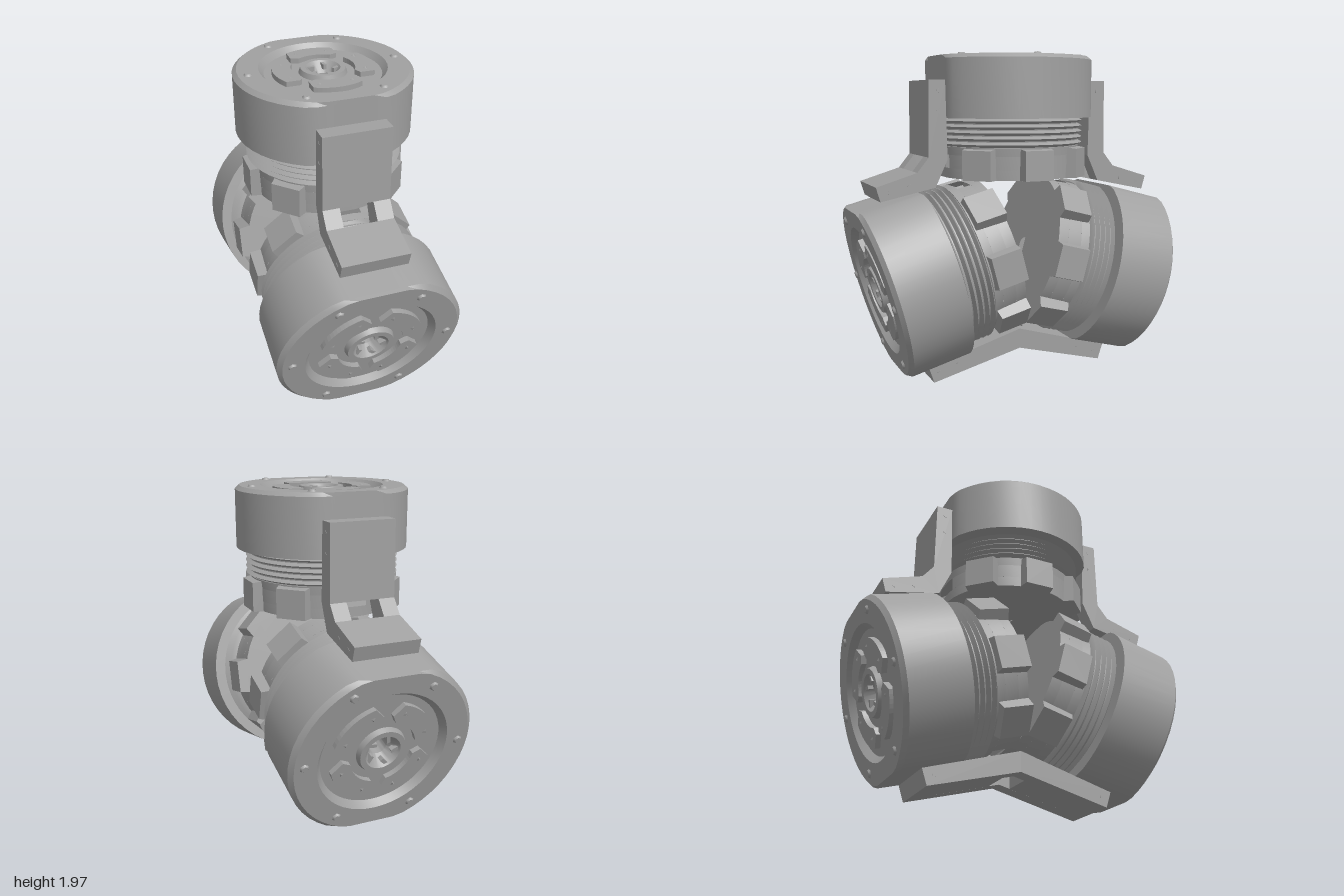
import * as THREE from 'three';
import { toCreasedNormals } from 'three/addons/utils/BufferGeometryUtils.js';

const grey = new THREE.MeshStandardMaterial({ color: 0xa0a0a0, side: THREE.DoubleSide });
grey.name = 'grey';

function add(parent, name, geometry) {
  const mesh = new THREE.Mesh(geometry, grey);
  mesh.name = name;
  parent.add(mesh);
  return mesh;
}

// Turned part from [radius, height] points, with the front and back flattened at z = +-flat
function turned(points, flat, segments = 48, start = 0, length = Math.PI * 2) {
  const g = new THREE.LatheGeometry(points.map(p => new THREE.Vector2(...p)), segments, start, length);
  const pos = g.attributes.position;
  for (let i = 0; i < pos.count; i++) {
    pos.setZ(i, THREE.MathUtils.clamp(pos.getZ(i), -flat, flat));
  }
  return toCreasedNormals(g, 0.4);
}

// Curved pad lying on the end face
function padGeometry() {
  const s = new THREE.Shape();
  s.absarc(0, 0, 0.295, -0.5, 0.5, false);
  s.lineTo(0.225 * Math.cos(0.68), 0.225 * Math.sin(0.68));
  s.absarc(0, 0, 0.185, 0.55, -0.55, true);
  s.lineTo(0.225 * Math.cos(0.68), -0.225 * Math.sin(0.68));
  s.closePath();
  const g = new THREE.ExtrudeGeometry(s, { depth: 0.03, bevelEnabled: false, curveSegments: 6 });
  return g.rotateX(-Math.PI / 2);
}

// Block on the lower collar, narrower towards its outer face
function blockGeometry() {
  const g = new THREE.BoxGeometry(0.1, 0.19, 0.21);
  const pos = g.attributes.position;
  for (let i = 0; i < pos.count; i++) {
    if (pos.getX(i) > 0) {
      pos.setZ(i, pos.getZ(i) * 0.85);
      if (pos.getY(i) > 0) pos.setY(i, 0.08);
    }
  }
  g.computeVertexNormals();
  return g;
}

// Drum standing on its base at the local origin
function makeDrum(name, padTurn) {
  const drum = new THREE.Group();
  drum.name = name;

  // Cap with chamfered rim, recessed face and hollow hub
  add(drum, 'cap', turned([
    [0.42, 0.36], [0.52, 0.36], [0.52, 0.705], [0.495, 0.727], [0.37, 0.727], [0.34, 0.69],
    [0.14, 0.69], [0.13, 0.72], [0.1, 0.72], [0.05, 0.66], [0.05, 0.19],
  ], 0.47));

  // Ribbed band
  const ribs = [[0.42, 0.19]];
  for (let i = 0; i < 5; i++) {
    const y = 0.19 + i * 0.034;
    ribs.push([0.44, y + 0.003], [0.465, y + 0.017], [0.44, y + 0.031]);
  }
  ribs.push([0.43, 0.36]);
  add(drum, 'ribbedBand', turned(ribs, 0.452));

  // Hollow collar with a slot at front and back
  add(drum, 'collarBottom', turned([[0.05, 0], [0.43, 0], [0.432, 0.06]], 0.425));
  add(drum, 'collarTop', turned([[0.435, 0.14], [0.44, 0.19], [0.05, 0.19]], 0.43));
  for (const side of [0, 1]) {
    add(drum, 'collarWall', turned([[0.432, 0.06], [0.435, 0.14]], 0.425, 24,
      0.24 + side * Math.PI, Math.PI - 0.48));
  }

  // Collar blocks, leaving out the slot sides
  for (const deg of [0, 45, 135, 180, 225, 315]) {
    const a = THREE.MathUtils.degToRad(deg);
    const block = add(drum, 'collarBlock', blockGeometry());
    block.position.set(Math.cos(a) * 0.43, 0.095, -Math.sin(a) * 0.43);
    block.rotation.y = a;
  }

  // Rim screws
  for (let i = 0; i < 6; i++) {
    const a = i * Math.PI / 3;
    const screw = add(drum, 'rimScrew', new THREE.CylinderGeometry(0.018, 0.028, 0.014, 6));
    screw.position.set(Math.cos(a) * 0.44, 0.731, Math.sin(a) * 0.44);
  }

  // Face pads with two small screws each
  for (let i = 0; i < 4; i++) {
    const pad = new THREE.Group();
    pad.name = 'facePad';
    pad.rotation.y = padTurn + i * Math.PI / 2;
    pad.position.y = 0.69;
    add(pad, 'pad', padGeometry());
    for (const s of [-1, 1]) {
      const screw = add(pad, 'padScrew', new THREE.ConeGeometry(0.016, 0.01, 3));
      screw.position.set(0.225, 0.034, s * 0.095);
    }
    drum.add(pad);
  }

  // Blades inside the hub
  for (let i = 0; i < 5; i++) {
    const a = i * Math.PI * 0.4;
    const blade = add(drum, 'hubBlade', new THREE.BoxGeometry(0.055, 0.03, 0.02));
    blade.position.set(Math.cos(a) * 0.08, 0.695, -Math.sin(a) * 0.08);
    blade.rotation.y = a + 0.5;
  }
  return drum;
}

// Plate with a [z, y] outline, spanning x0 to x1
function plate(points, x0, x1) {
  const s = new THREE.Shape(points.map(p => new THREE.Vector2(...p)));
  const g = new THREE.ExtrudeGeometry(s, { depth: x1 - x0, bevelEnabled: false });
  return g.rotateY(-Math.PI / 2).translate(x1, 0, 0);
}

// Bracket made of two side rails and centre pieces, so a window stays open between them
function makeBracket(name, outline, centrePieces, screws) {
  const bracket = new THREE.Group();
  bracket.name = name;
  add(bracket, 'rightRail', plate(outline, -0.2, -0.1));
  add(bracket, 'leftRail', plate(outline, 0.1, 0.2));
  for (const piece of centrePieces) add(bracket, 'centrePlate', plate(piece, -0.1, 0.1));
  for (const [z, y] of screws) {
    for (const s of [-1, 1]) {
      const screw = add(bracket, 'bracketScrew', new THREE.CylinderGeometry(0.014, 0.014, 0.006, 3));
      screw.rotation.z = Math.PI / 2;
      screw.position.set(s * 0.2, y, z);
    }
  }
  return bracket;
}

export function createModel() {
  const model = new THREE.Group();
  model.name = 'drumAssembly';

  const top = makeDrum('topDrum', 0);
  top.position.y = 1.23;
  model.add(top);

  // Upper bracket outline: upright arm, bend, lower arm
  const upright = [[0.575, 1.81], [0.475, 1.81], [0.465, 1.35], [0.58, 1.364]];
  const lower = [[0.54, 1.187], [0.87, 1.118], [0.895, 1.203], [0.65, 1.278]];
  const bent = [...upright.slice(0, 3), ...lower, upright[3]];

  // Front and back halves
  for (const [side, turn] of [['front', 0], ['back', Math.PI]]) {
    const half = new THREE.Group();
    half.name = side + 'Half';
    half.rotation.y = turn;
    const drum = makeDrum(side + 'Drum', Math.PI / 4);
    drum.scale.setScalar(1.085);
    drum.rotation.x = THREE.MathUtils.degToRad(105);
    drum.position.set(0, 0.76, 0.11);
    half.add(drum, makeBracket(side + 'Bracket', bent, [upright, lower],
      [[0.52, 1.75], [0.52, 1.63], [0.82, 1.17], [0.7, 1.2]]));
    model.add(half);
  }

  // V-shaped bottom bracket with a hole in the middle
  const vee = [[0.565, 0], [0.597, 0.096], [0, 0.272], [-0.597, 0.096], [-0.565, 0], [0, 0.147]];
  const wing = s => [[s * 0.565, 0], [s * 0.597, 0.096], [s * 0.07, 0.251], [s * 0.07, 0.129]];
  model.add(makeBracket('bottomBracket', vee, [wing(1), wing(-1)],
    [[0.53, 0.06], [0.41, 0.1], [-0.53, 0.06], [-0.41, 0.1]]));

  return model;
}
